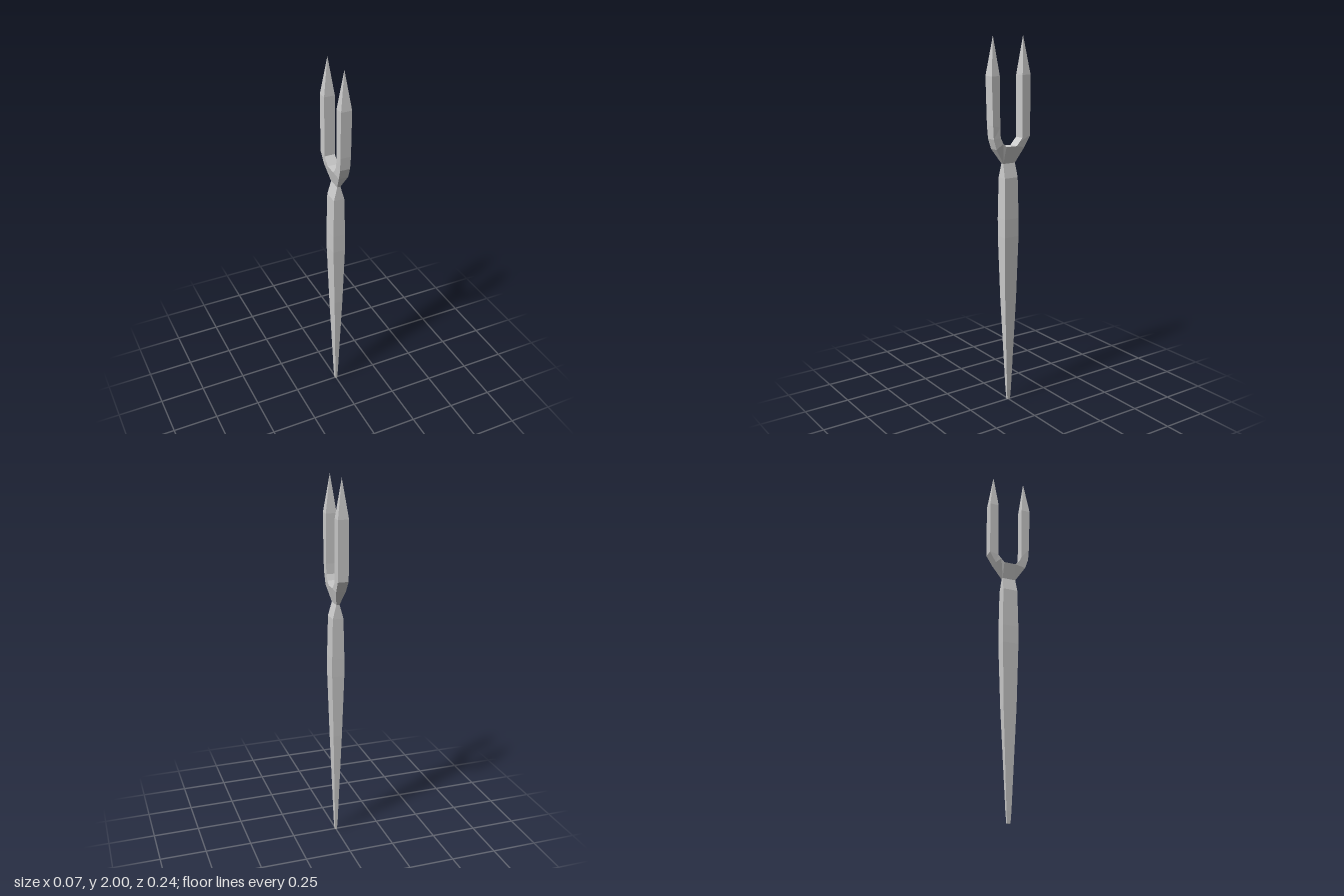
import * as THREE from 'three';

const material = new THREE.MeshStandardMaterial({ color: 0xcccccc, flatShading: true });

// Four-sided loft. Each station is two edges across the bar: [z, y, halfWidth] twice.
function loft(name, stations) {
  const rings = stations.map(([z1, y1, h1, z2, y2, h2]) => [
    [h1, y1, z1], [h2, y2, z2], [-h2, y2, z2], [-h1, y1, z1],
  ]);
  const positions = [];
  const quad = (a, b, c, d) => positions.push(...a, ...b, ...c, ...a, ...c, ...d);
  for (let i = 0; i < rings.length - 1; i++) {
    const low = rings[i], high = rings[i + 1];
    for (let k = 0; k < 4; k++) {
      const n = (k + 1) % 4;
      quad(low[n], low[k], high[k], high[n]);
    }
  }
  // End caps
  const first = rings[0], last = rings[rings.length - 1];
  quad(first[0], first[1], first[2], first[3]);
  quad(last[3], last[2], last[1], last[0]);

  const geometry = new THREE.BufferGeometry();
  geometry.setAttribute('position', new THREE.Float32BufferAttribute(positions, 3));
  geometry.computeVertexNormals();
  const mesh = new THREE.Mesh(geometry, material);
  mesh.name = name;
  return mesh;
}

export function createModel() {
  const group = new THREE.Group();
  group.name = 'twoProngedFork';

  // Tapered handle, pinched at the neck: [y, half width, half depth]
  const handle = [
    [0, 0.005, 0.009],
    [0.06, 0.008, 0.013],
    [0.6, 0.024, 0.036],
    [0.95, 0.034, 0.044],
    [1.05, 0.034, 0.044],
    [1.27, 0.029, 0.041],
    [1.345, 0.009, 0.037],
  ].map(([y, hx, hz]) => [-hz, y, hx, hz, y, hx]);
  group.add(loft('handle', handle));

  // Front prong: inner edge, then outer edge, from the crotch to the tip
  group.add(loft('frontProng', [
    [0, 1.435, 0.029, 0, 1.345, 0.009],
    [0.03, 1.435, 0.029, 0.037, 1.345, 0.009],
    [0.05, 1.455, 0.029, 0.09, 1.425, 0.026],
    [0.066, 1.485, 0.029, 0.108, 1.48, 0.027],
    [0.069, 1.54, 0.029, 0.113, 1.55, 0.029],
    [0.071, 1.8, 0.029, 0.12, 1.8, 0.029],
    [0.093, 2, 0, 0.093, 2, 0],
  ]));

  // Back prong: outer edge, then inner edge
  group.add(loft('backProng', [
    [0, 1.345, 0.009, 0, 1.435, 0.029],
    [-0.037, 1.345, 0.009, -0.035, 1.435, 0.029],
    [-0.085, 1.425, 0.026, -0.053, 1.455, 0.029],
    [-0.12, 1.485, 0.029, -0.071, 1.475, 0.029],
    [-0.121, 1.8, 0.029, -0.071, 1.8, 0.029],
    [-0.093, 2, 0, -0.093, 2, 0],
  ]));

  return group;
}
